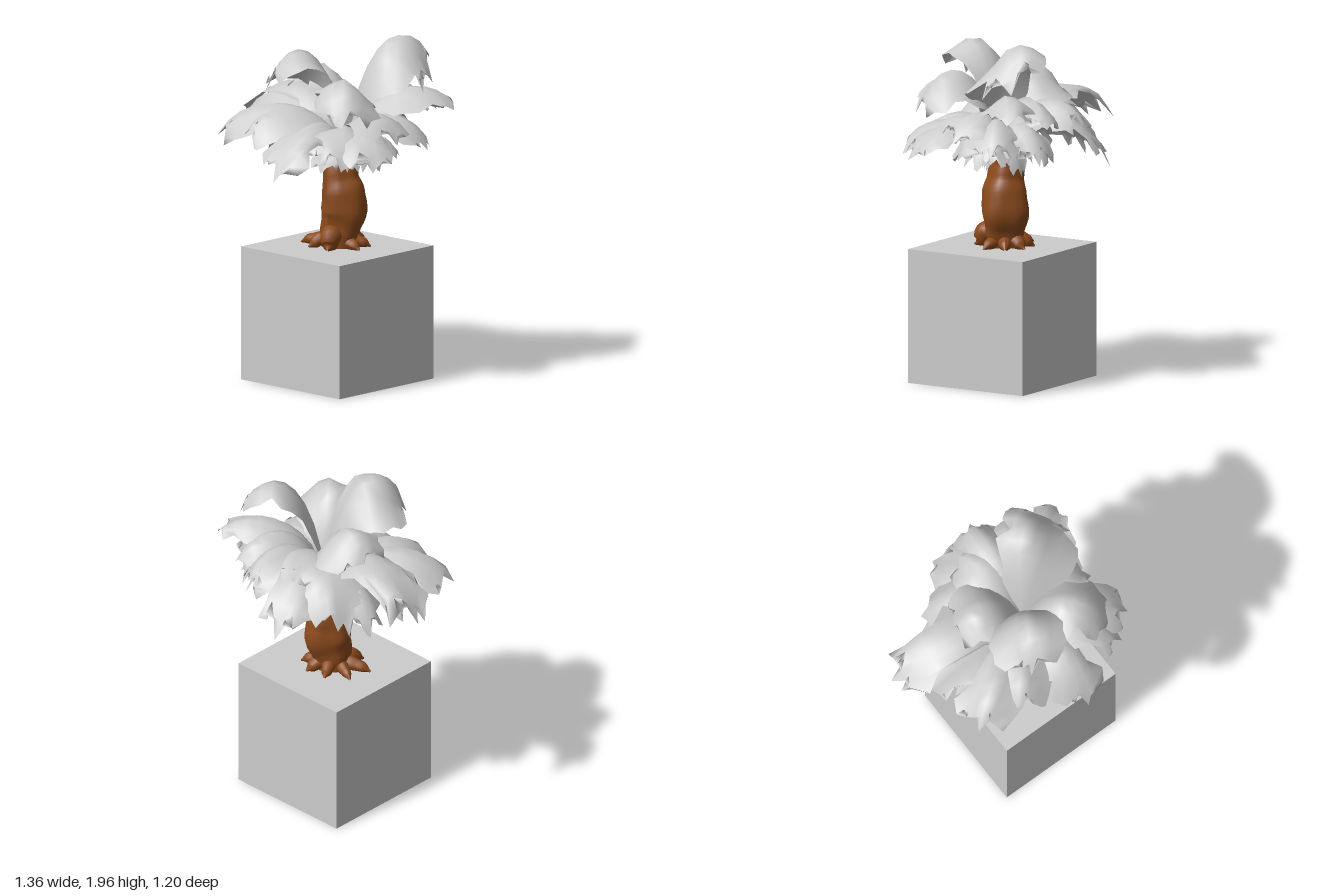
import * as THREE from 'three';

const V = (x, y, z) => new THREE.Vector3(x, y, z);

// Small seeded generator for the ragged leaf edges
let seed = 7;
const rand = () => {
  seed = (seed * 16807) % 2147483647;
  return seed / 2147483647;
};

// Tube whose radius follows radii[] along its path, with optional lengthwise ridges
function taperedTube(points, radii, segments, sides, ridge = 0) {
  const curve = new THREE.CatmullRomCurve3(points);
  const geo = new THREE.TubeGeometry(curve, segments, 1, sides);
  const pos = geo.attributes.position;
  const p = V(0, 0, 0);
  for (let i = 0; i < pos.count; i++) {
    const ring = Math.floor(i / (sides + 1));
    const t = ring / segments;
    const angle = ((i % (sides + 1)) / sides) * Math.PI * 2;
    const f = t * (radii.length - 1);
    const k = Math.min(Math.floor(f), radii.length - 2);
    let r = THREE.MathUtils.lerp(radii[k], radii[k + 1], THREE.MathUtils.smoothstep(f - k, 0, 1));
    r *= 1 + ridge * Math.sin(angle * 4 + t * 4) + ridge * 0.6 * Math.sin(angle * 3 - t * 6);
    const c = curve.getPointAt(t);
    p.fromBufferAttribute(pos, i).sub(c).multiplyScalar(r).add(c);
    pos.setXYZ(i, p.x, p.y, p.z);
  }
  geo.computeVertexNormals();
  return geo;
}

// Broad arching leaf from base to tip: ridge is its highest level, half its half width,
// roll lifts its right-hand edge (seen from the trunk)
function leafGeometry(base, tip, ridge, half, roll = (rand() - 0.5) * 0.5) {
  const nu = 6, nv = 10;
  const geo = new THREE.PlaneGeometry(2, 1, nu, nv);
  const pos = geo.attributes.position;
  const control = (ridge - 0.125 * (base.y + tip.y)) / 0.75;
  const p1 = base.clone().lerp(tip, 0.15).setY(control);
  const p2 = base.clone().lerp(tip, 0.78).setY(control);
  const spine = new THREE.CubicBezierCurve3(base, p1, p2, tip);
  const side = V(base.z - tip.z, 0, tip.x - base.x).normalize();
  side.y = roll;
  side.normalize();
  const phase = rand() * 6;
  for (let i = 0; i < pos.count; i++) {
    const u = pos.getX(i);
    let v = pos.getY(i) + 0.5;
    let w = half * (0.12 + 0.88 * Math.sin(0.82 * Math.PI * v));
    // ragged sides with a few deep notches, and a ragged end
    if (Math.abs(u) > 0.9) w *= rand() < 0.2 ? 0.7 : 0.9 + 0.3 * rand();
    if (v > 0.95) v -= Math.abs(u) * 0.05 + (Math.abs(u) > 0.1 ? rand() * 0.16 : 0);
    const p = spine.getPoint(v).addScaledVector(side, u * w);
    // ridge along the middle, sagging sides and wavy folds
    p.y -= w * (0.25 * Math.abs(u) + 0.25 * u * u);
    p.y += half * 0.16 * v * Math.sin(u * 4 + v * 5 + phase);
    pos.setXYZ(i, p.x, p.y, p.z);
  }
  geo.computeVertexNormals();
  return geo;
}

export function createModel() {
  seed = 7;
  const model = new THREE.Group();
  const grey = new THREE.MeshStandardMaterial({ color: 0xcccccc, side: THREE.DoubleSide });
  grey.name = 'pale grey';
  const brown = new THREE.MeshStandardMaterial({ color: 0x8b4a1c, side: THREE.DoubleSide });
  brown.name = 'bark brown';
  const add = (parent, name, geo, mat) => {
    const mesh = new THREE.Mesh(geo, mat);
    mesh.name = name;
    parent.add(mesh);
    return mesh;
  };

  // Cubic block
  add(model, 'block', new THREE.BoxGeometry(0.76, 0.76, 0.76), grey).position.set(0.12, 0.38, 0.03);

  // Swollen, slightly bent trunk
  const trunkPath = [
    V(0.12, 0.76, 0.01), V(0.125, 0.85, 0.01), V(0.14, 0.95, -0.005),
    V(0.14, 1.05, 0), V(0.12, 1.15, 0.005), V(0.115, 1.25, 0), V(0.15, 1.36, 0),
  ];
  add(model, 'trunk', taperedTube(trunkPath, [0.1, 0.115, 0.135, 0.125, 0.1, 0.085, 0.06], 28, 24, 0.06), brown);

  // Spreading roots: angle, reach, thickness, height at the trunk
  const roots = new THREE.Group();
  roots.name = 'roots';
  model.add(roots);
  [
    [0.1, 0.19, 0.04, 0.81], [1.15, 0.17, 0.062, 0.85], [2.05, 0.17, 0.04, 0.82],
    [2.8, 0.22, 0.04, 0.81], [3.5, 0.2, 0.035, 0.81], [4.3, 0.17, 0.04, 0.82],
    [5.05, 0.18, 0.045, 0.82], [5.7, 0.19, 0.04, 0.81],
  ].forEach(([a, reach, r, top]) => {
    const at = (d, y) => V(0.11 + Math.cos(a) * d, y, 0.02 + Math.sin(a) * d);
    const path = [at(0.05, top), at(0.11, top - 0.02), at(reach * 0.8, 0.78), at(reach, 0.762)];
    add(roots, 'root', taperedTube(path, [r * 0.8, r, r * 0.8, 0.006], 12, 12), brown);
  });

  // Leaves: tip x, y, z, ridge height, half width, optional roll
  const base = V(0.16, 1.3, 0);
  const crown = new THREE.Group();
  crown.name = 'leafCrown';
  model.add(crown);
  const groups = {
    topLeaf: [
      [0.54, 1.74, -0.3, 1.91, 0.23, -0.5], [-0.08, 1.7, 0.4, 1.87, 0.2, -0.35],
      [0.48, 1.56, 0.37, 1.75, 0.19], [-0.25, 1.6, -0.13, 1.73, 0.18],
    ],
    middleLeaf: [
      [-0.67, 1.4, -0.12, 1.64, 0.18, 0.1], [-0.55, 1.42, 0.04, 1.59, 0.17],
      [-0.2, 1.42, 0.44, 1.54, 0.19], [0.6, 1.42, 0.05, 1.56, 0.18],
      [0.66, 1.58, -0.35, 1.66, 0.16], [0.22, 1.5, -0.57, 1.63, 0.16],
      [0.42, 1.52, -0.46, 1.64, 0.15], [0.05, 1.52, -0.45, 1.62, 0.15],
    ],
    lowerLeaf: [
      [-0.45, 1.36, 0.4, 1.55, 0.18], [0.17, 1.24, 0.6, 1.5, 0.17],
      [0.53, 1.31, 0.43, 1.5, 0.17], [0.66, 1.31, 0.31, 1.5, 0.15],
      [0.6, 1.36, -0.2, 1.52, 0.16], [-0.02, 1.26, -0.6, 1.53, 0.17],
      [-0.28, 1.28, -0.36, 1.55, 0.17], [-0.4, 1.24, 0.12, 1.46, 0.12],
      [-0.38, 1.25, -0.2, 1.48, 0.13], [0.4, 1.3, -0.4, 1.5, 0.14],
      [-0.1, 1.26, 0.36, 1.46, 0.13], [0.46, 1.28, 0.1, 1.46, 0.12],
    ],
  };
  for (const [name, list] of Object.entries(groups)) {
    for (const [x, y, z, ridge, half, roll] of list) {
      add(crown, name, leafGeometry(base, V(x, y, z), ridge, half, roll), grey);
    }
  }

  // Short drooping leaves around the top of the trunk, in two tiers
  for (let i = 0; i < 14; i++) {
    const a = i * 2.4 + 0.3;
    const outer = i % 2;
    const reach = (outer ? 0.28 : 0.13) + 0.06 * rand();
    const tip = V(0.14 + Math.cos(a) * reach, (outer ? 1.22 : 1.14) + 0.1 * rand(), Math.sin(a) * reach);
    add(crown, 'collarLeaf', leafGeometry(base, tip, outer ? 1.42 : 1.35, outer ? 0.1 : 0.07), grey);
  }
  return model;
}
